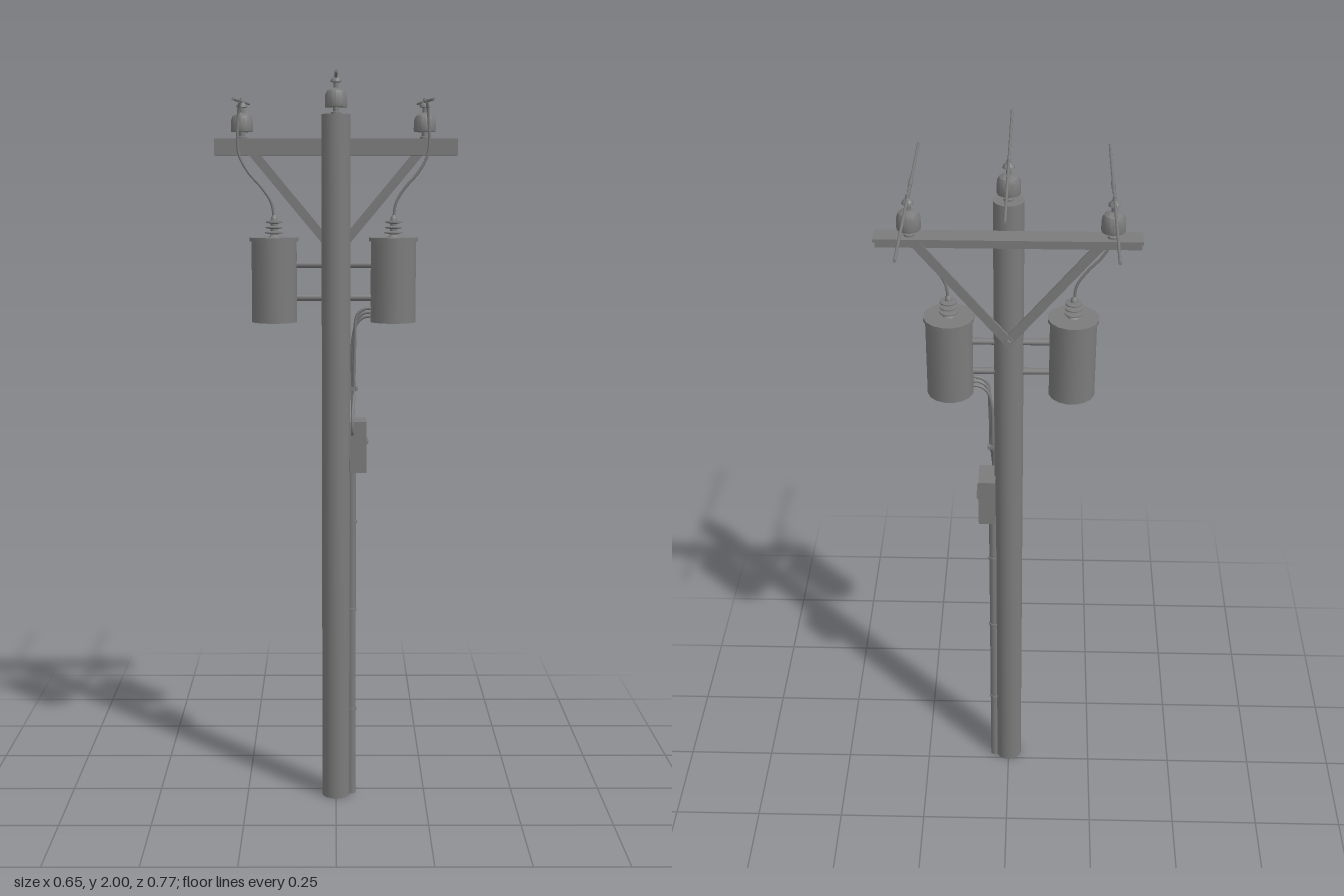
import * as THREE from 'three';
import { toCreasedNormals } from 'three/addons/utils/BufferGeometryUtils.js';

const Z = 0.033; // depth of the pole axis
const solid = new THREE.MeshStandardMaterial({ color: 0x7b7b7b });
const open = new THREE.MeshStandardMaterial({ color: 0x7b7b7b, side: THREE.DoubleSide });
const V = (x, y, z) => new THREE.Vector3(x, y, z);

function add(parent, name, geo, x = 0, y = 0, z = 0, m = solid) {
  const mesh = new THREE.Mesh(geo, m);
  mesh.name = name;
  mesh.position.set(x, y, z);
  parent.add(mesh);
  return mesh;
}

function box(parent, name, x0, x1, y0, y1, z0, z1) {
  return add(parent, name, new THREE.BoxGeometry(x1 - x0, y1 - y0, z1 - z0),
    (x0 + x1) / 2, (y0 + y1) / 2, (z0 + z1) / 2);
}

// Straight round bar between two points
function rod(parent, name, a, b, r, sides = 10) {
  const mesh = add(parent, name, new THREE.CylinderGeometry(r, r, a.distanceTo(b), sides));
  mesh.position.copy(a).add(b).multiplyScalar(0.5);
  mesh.quaternion.setFromUnitVectors(V(0, 1, 0), b.clone().sub(a).normalize());
}

// Bent cable through points
function cable(parent, name, pts, r) {
  const curve = new THREE.CatmullRomCurve3(pts.map(p => V(...p)), false, 'centripetal');
  add(parent, name, new THREE.TubeGeometry(curve, 40, r, 8));
}

// Turned part; profile listed from bottom to top as [radius, height]
function turned(parent, name, profile, x, y, z, m = solid) {
  const geo = new THREE.LatheGeometry(profile.map(p => new THREE.Vector2(...p)), 18);
  add(parent, name, toCreasedNormals(geo, 0.6), x, y, z, m);
}

const INSULATOR = [[0, 0], [0.013, 0], [0.013, 0.006], [0.008, 0.008], [0.008, 0.019], [0.029, 0.019],
  [0.03, 0.024], [0.029, 0.05], [0.024, 0.061], [0.014, 0.067], [0.007, 0.069], [0.007, 0.082],
  [0.015, 0.084], [0.014, 0.089], [0.006, 0.097], [0.004, 0.108], [0, 0.109]];

export function createModel() {
  const model = new THREE.Group();
  model.name = 'utilityPole';

  // Hollow pole, closed at the top
  turned(model, 'pole', [[0.039, 0], [0.039, 1.888], [0, 1.888]], 0, 0, Z, open);

  // Angle-iron crossarm behind the pole
  const arm = new THREE.Group();
  arm.name = 'crossarm';
  model.add(arm);
  box(arm, 'armTopFlange', -0.325, 0.325, 1.819, 1.827, -0.065, -0.011);
  box(arm, 'armFrontFlange', -0.325, 0.325, 1.783, 1.823, -0.019, -0.011);
  rod(arm, 'armBolt', V(0, 1.803, 0), V(0, 1.803, -0.027), 0.008, 6);

  // Diagonal braces
  for (const s of [-1, 1]) {
    const a = V(0, 1.523, -0.013 - 0.003 * s), b = V(0.23 * s, 1.799, -0.022);
    const brace = add(arm, 'brace', new THREE.BoxGeometry(0.024, a.distanceTo(b) + 0.015, 0.007));
    brace.position.copy(a).add(b).multiplyScalar(0.5);
    brace.rotation.z = -Math.atan2(b.x - a.x, b.y - a.y);
    rod(arm, 'braceBolt', V(b.x, b.y, -0.013), V(b.x, b.y, -0.032), 0.006, 6);
  }
  rod(arm, 'braceBolt', V(0, 1.523, 0), V(0, 1.523, -0.033), 0.008, 6);

  // Insulators and line wires
  turned(model, 'insulator', INSULATOR, 0, 1.887, Z);
  rod(model, 'lineWire', V(0, 1.972, 0.385), V(0, 1.996, -0.315), 0.0036, 8);

  for (const [x, tx, s] of [[-0.252, -0.165, -1], [0.238, 0.153, 1]]) {
    turned(model, 'insulator', INSULATOR, x, 1.826, -0.04);
    rod(model, 'lineWire', V(x, 1.911, 0.315), V(x, 1.937, -0.388), 0.0036, 8);
    rod(model, 'wireClamp', V(x, 1.92, 0.07), V(x, 1.9215, 0.03), 0.0055, 8);

    // Transformer can with lid and ribbed bushing
    const can = new THREE.Group();
    can.name = 'transformer';
    can.position.set(tx, 0, Z);
    model.add(can);
    const body = add(can, 'can', new THREE.CylinderGeometry(0.061, 0.061, 0.22, 16), 0, 1.452, 0);
    const lid = add(can, 'lid', new THREE.CylinderGeometry(0.066, 0.066, 0.01, 16), 0, 1.562, 0);
    body.rotation.y = lid.rotation.y = Math.PI / 16;
    const bushing = [[0.016, 0]];
    for (let i = 0; i < 3; i++) {
      const y = 0.008 + i * 0.014, r = 0.024 - i * 0.001;
      bushing.push([0.009, y], [r, y + 0.003], [r, y + 0.006], [0.009, y + 0.009]);
    }
    bushing.push([0.008, 0.053], [0.004, 0.059], [0, 0.059]);
    turned(can, 'bushing', bushing, 0, 1.567, 0);

    // Jumper from the line down to the bushing
    cable(model, 'jumper', [[x, 1.92, 0.045], [x + 0.004 * s, 1.897, Z], [x + 0.008 * s, 1.838, Z],
      [x + 0.004 * s, 1.783, Z], [x - 0.02 * s, 1.738, Z], [x - 0.055 * s, 1.698, Z],
      [tx + 0.006 * s, 1.657, Z], [tx, 1.612, Z]], 0.0038);

    // Hanger bars to the pole
    for (const y of [1.495, 1.407])
      rod(model, 'hangerBar', V(0.03 * s, y, Z - 0.003), V(tx - 0.052 * s, y, Z - 0.003), 0.009);
  }

  // Secondary cables running down to the service box
  for (let i = 0; i < 3; i++) {
    const d = i * 0.011, x = 0.043 + i * 0.003, z = 0.036 + i * 0.004;
    cable(model, 'serviceCable', [[0.1, 1.358 + d, z], [0.075, 1.355 + d, z], [0.056, 1.338 + d, z],
      [x + 0.002, 1.295, z], [x, 1.2, z], [x, 1.15, z + 0.004], [0.045, 1.11, 0.068 + i * 0.004],
      [0.044, 1.075, 0.088 + i * 0.002], [0.044, 1.055, 0.092], [0.044, 1.043, 0.08],
      [0.045, 1.043, 0.06]], 0.0042);
  }
  box(model, 'cableClamp', 0.034, 0.058, 1.157, 1.167, 0.03, 0.05);

  // Service box with down-facing louvres
  const cabinet = new THREE.Group();
  cabinet.name = 'serviceBox';
  model.add(cabinet);
  box(cabinet, 'boxBody', 0.036, 0.082, 0.935, 1.075, -0.012, 0.073);
  for (let i = 0; i < 4; i++) {
    const z = 0.005 + i * 0.017;
    const louvre = box(cabinet, 'louvre', 0.076, 0.084, 1.004, 1.022, z - 0.006, z + 0.006);
    louvre.rotation.z = -0.6;
  }

  // Conduit down the side of the pole, with slim straps
  rod(model, 'conduit', V(0.043, 0, 0.025), V(0.043, 0.94, 0.025), 0.012, 12);
  for (const y of [0.25, 0.54, 0.79])
    rod(model, 'conduitStrap', V(0.043, y - 0.004, 0.025), V(0.043, y + 0.004, 0.025), 0.0145, 12);

  return model;
}
